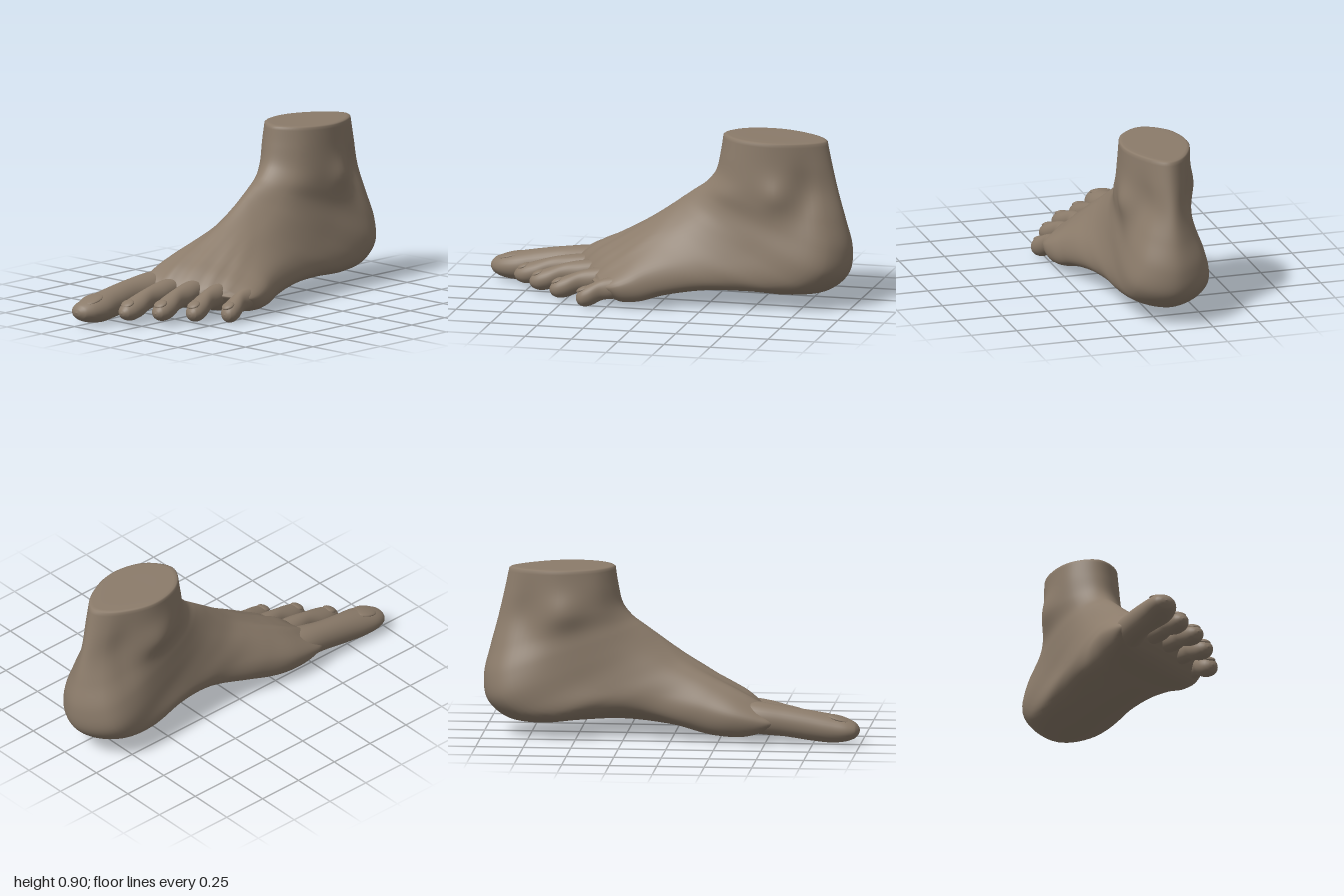
import * as THREE from 'three';

const skin = new THREE.MeshStandardMaterial({ color: 0x8b7b6a });
skin.name = 'skin';

const V = (x, y, z) => new THREE.Vector3(x, y, z);
const gauss = (d, r) => Math.exp(-(d * d) / (r * r));

// Smooth closed skin over rows of points (each row is one loop)
function skinRows(rows) {
  const n = rows[0].length, pos = [], idx = [];
  rows.forEach(row => row.forEach(p => pos.push(p.x, p.y, p.z)));
  for (let i = 0; i < rows.length - 1; i++) {
    for (let j = 0; j < n; j++) {
      const k = (j + 1) % n, a = i * n + j, b = a + n, c = i * n + k, d = c + n;
      idx.push(a, b, c, c, b, d);
    }
  }
  const g = new THREE.BufferGeometry();
  g.setAttribute('position', new THREE.Float32BufferAttribute(pos, 3));
  g.setIndex(idx);
  g.computeVertexNormals();
  return g;
}

function add(group, name, geometry) {
  const m = new THREE.Mesh(geometry, skin);
  m.name = name;
  group.add(m);
  return m;
}

// Shrink a loop towards its centre, with an optional lift
function inset(row, s, dy = 0) {
  const c = V(0, 0, 0);
  row.forEach(p => c.addScaledVector(p, 1 / row.length));
  return row.map(p => c.clone().lerp(p, s).add(V(0, dy, 0)));
}

// Sections fan from the ankle cut round to the toe line.
// Front/instep edge y, z, then back/sole edge y, z, then forward skew
const spine = [
  [.895, -.305, .88, -.865, 0], [.80, -.29, .76, -.89, 0], [.70, -.265, .61, -.925, 0],
  [.635, -.215, .46, -.965, 0], [.595, -.16, .31, -.998, 0], [.56, -.11, .18, -.98, 0],
  [.522, -.06, .09, -.88, 0], [.478, 0, .06, -.72, 0], [.43, .07, .07, -.5, 0],
  [.385, .14, .075, -.25, .1], [.335, .22, .05, 0, .22], [.288, .3, .02, .17, .35],
  [.235, .385, .02, .30, .45], [.18, .445, .045, .37, .5], [.135, .475, .08, .42, .5],
];
// x of the section: left side near front, middle, back; then right side
const widths = [
  [.065, .114, .032, -.197, -.244, -.162], [.072, .117, .035, -.205, -.245, -.16],
  [.077, .123, .03, -.202, -.25, -.155], [.08, .123, .065, -.19, -.24, -.185],
  [.07, .125, .105, -.19, -.25, -.233], [.07, .14, .135, -.19, -.254, -.264],
  [.08, .15, .14, -.19, -.25, -.263], [.09, .165, .14, -.19, -.25, -.25],
  [.10, .19, .15, -.19, -.25, -.21], [.11, .22, .19, -.20, -.255, -.21],
  [.12, .255, .235, -.22, -.292, -.25], [.13, .287, .265, -.23, -.321, -.28],
  [.14, .302, .275, -.22, -.315, -.28], [.15, .295, .265, -.22, -.30, -.265],
  [.16, .27, .22, -.20, -.275, -.24],
];

function footBody() {
  const rings = spine.map(([fy, fz, by, bz, skew], i) => {
    const [l1, l2, l3, r1, r2, r3] = widths[i];
    const at = (x, v) => V(x, fy + (by - fy) * v, fz + (bz - fz) * v - skew * (x + .05));
    return [at(-.065, 0), at(l1, .15), at(l2, .5), at(l3, .88),
      at(-.06, 1), at(r3, .88), at(r2, .5), at(r1, .15)];
  });
  const lengthwise = rings[0].map((_, j) => new THREE.CatmullRomCurve3(rings.map(r => r[j])));
  const rows = [], steps = 98, around = 72;
  for (let i = 0; i <= steps; i++) {
    const loop = new THREE.CatmullRomCurve3(lengthwise.map(c => c.getPoint(i / steps)), true);
    rows.push(Array.from({ length: around }, (_, j) => loop.getPoint(j / around)));
  }
  rows.flat().forEach(p => {
    // Ankle bones and the hollows behind them
    if (p.x > -.05) {
      p.x += .026 * gauss(Math.hypot(p.y - .61, p.z + .64), .085);
      p.x -= .022 * gauss(Math.hypot((p.y - .64) * .4, p.z + .77), .065);
    } else {
      p.x -= .022 * gauss(Math.hypot(p.y - .67, p.z + .56), .1);
      p.x += .022 * gauss(Math.hypot((p.y - .64) * .4, p.z + .76), .07);
    }
    // Inner arch
    const inner = THREE.MathUtils.smoothstep(-p.x, -.02, .2);
    p.y += .06 * inner * gauss(p.z + .22, .25) * Math.max(0, 1 - p.y / .25);
    // Tendons fanning out to the toes
    const t = THREE.MathUtils.clamp((p.z + .1) / .5, 0, 1);
    if (p.y > .14) {
      for (const end of [-.21, -.09, .02, .12, .22]) {
        p.y += .015 * t * gauss(p.x - THREE.MathUtils.lerp(-.05, end, Math.sqrt(t)), .027);
      }
    }
  });
  const top = rows[0], last = rows[steps];
  return skinRows([inset(top, 0, .008), inset(top, .5, .008), inset(top, .9, .009),
    inset(top, .97, .006), ...rows, inset(last, .6), inset(last, 0)]);
}

// Toe from stations of x, y, z, half width, half height
function toeGeometry(stations) {
  const centre = new THREE.CatmullRomCurve3(stations.map(s => V(s[0], s[1], s[2])));
  const size = new THREE.CatmullRomCurve3(stations.map(s => V(s[3], s[4], s[2])));
  const rows = [], steps = 60, around = 32;
  for (let i = 0; i <= steps; i++) {
    const c = centre.getPoint(i / steps), r = size.getPoint(i / steps);
    rows.push(Array.from({ length: around }, (_, j) => {
      const a = j / around * Math.PI * 2;
      return V(c.x + Math.max(0, r.x) * Math.sin(a), c.y + Math.max(0, r.y) * Math.cos(a), c.z);
    }));
  }
  return skinRows(rows);
}

// Nail as a shallow dome set into the toe
function nail(group, name, x, y, z, w, l, tilt) {
  const m = add(group, name, new THREE.SphereGeometry(1, 24, 14));
  m.scale.set(w, .014, l);
  m.position.set(x, y, z);
  m.rotation.x = tilt;
}

export function createModel() {
  const foot = new THREE.Group();
  foot.name = 'foot';
  add(foot, 'ankleAndSole', footBody());

  add(foot, 'bigToe', toeGeometry([
    [-.19, .15, .30, .07, .07], [-.21, .13, .45, .085, .085], [-.227, .115, .60, .074, .08],
    [-.228, .095, .74, .079, .079], [-.225, .08, .85, .086, .074], [-.232, .075, .93, .076, .059],
    [-.238, .074, .975, .054, .039], [-.24, .074, .992, .027, .018], [-.24, .074, .998, 0, 0],
  ]));
  nail(foot, 'bigToeNail', -.23, .132, .89, .056, .075, .27);

  // Smaller toes: root x, z, tip x, z, half width, height offset
  const small = [
    ['secondToe', -.09, .30, -.073, .832, .06, .004],
    ['thirdToe', .012, .24, .062, .715, .06, .004],
    ['fourthToe', .11, .15, .177, .577, .058, -.004],
    ['littleToe', .225, .06, .273, .41, .055, -.019],
  ];
  // Along the toe: fraction, y, width factor, half height
  const form = [
    [0, .16, .8, .045], [.22, .142, .92, .054], [.42, .125, .96, .06], [.6, .112, .77, .056],
    [.77, .084, .99, .058], [.88, .071, .93, .052], [.955, .067, .66, .036],
    [.987, .066, .34, .017], [1, .066, 0, 0],
  ];
  for (const [name, x0, z0, x1, z1, w, dy] of small) {
    const bend = f => x0 + (x1 - x0) * Math.pow(f, 1.2);
    const span = z1 - z0;
    add(foot, name, toeGeometry(form.map(([f, y, k, h]) =>
      [bend(f), y + dy, z0 + span * f, w * k, h])));
    nail(foot, name + 'Nail', bend(.9), .11 + dy, z0 + span * .9, w * .6, .036, .42);
  }
  return foot;
}
